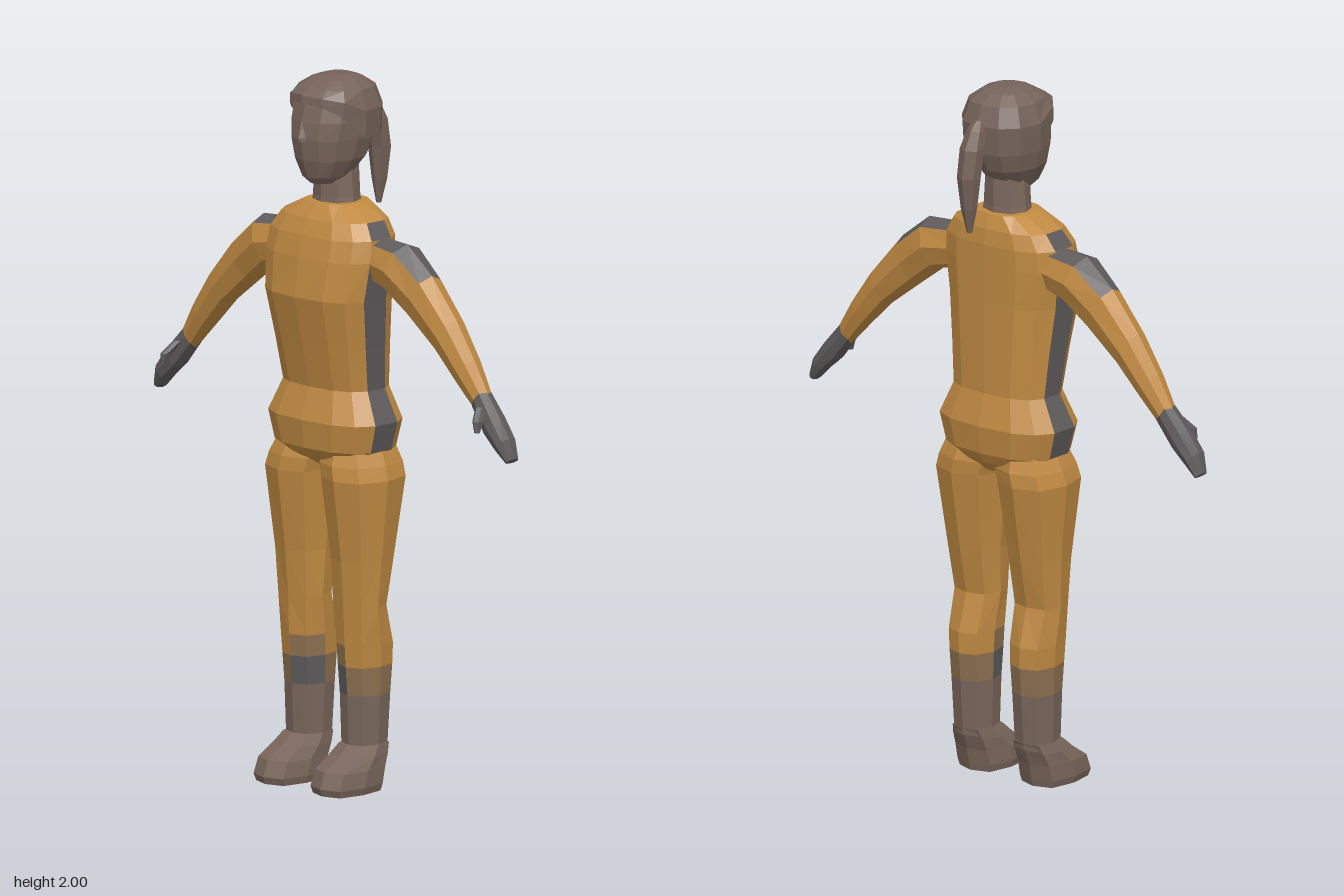
import * as THREE from 'three';

const mat = (name, color, side = THREE.FrontSide) => {
  const m = new THREE.MeshStandardMaterial({ color, side });
  m.name = name;
  return m;
};

// Signed power, squares off an ellipse when p < 1
const spow = (v, p) => Math.sign(v) * Math.pow(Math.abs(v), p);

// Horizontal ring, starting at the front and turning towards +x
function ring(n, p, [y, x0, x1, front, back], lift = () => 0) {
  const pts = [];
  for (let k = 0; k < n; k++) {
    const t = (k / n) * Math.PI * 2;
    pts.push(new THREE.Vector3(
      (x0 + x1) / 2 + ((x1 - x0) / 2) * spow(Math.sin(t), p),
      y + lift(Math.cos(t)),
      (front + back) / 2 + ((front - back) / 2) * spow(Math.cos(t), p)));
  }
  return pts;
}

// Ring across a limb, from its upper and lower outline points and its depth
function limbRing(n, p, [ux, uy, lx, ly, front, back]) {
  const pts = [];
  for (let k = 0; k < n; k++) {
    const t = (k / n) * Math.PI * 2, c = spow(Math.cos(t), p), s = spow(Math.sin(t), p);
    pts.push(new THREE.Vector3(
      (ux + lx) / 2 + ((ux - lx) / 2) * c,
      (uy + ly) / 2 + ((uy - ly) / 2) * c,
      (front + back) / 2 + ((front - back) / 2) * s));
  }
  return pts;
}

// Faceted skin over rings; pick(segment, side) chooses the material index
function loft(name, rings, materials, pick = () => 0, { side = 1, bottom = true, top = true, bottomMat = 0 } = {}) {
  const buckets = materials.map(() => []);
  const tri = (m, a, b, c) => {
    for (const v of side > 0 ? [a, b, c] : [a, c, b]) buckets[m].push(v.x * side, v.y, v.z);
  };
  const n = rings[0].length, last = rings.length - 1;
  const centre = r => r.reduce((s, v) => s.add(v), new THREE.Vector3()).divideScalar(n);
  for (let k = 0; k < n; k++) {
    const j = (k + 1) % n;
    for (let i = 0; i < last; i++) {
      const m = pick(i, k), a = rings[i], b = rings[i + 1];
      tri(m, a[k], a[j], b[j]);
      tri(m, a[k], b[j], b[k]);
    }
    if (bottom) tri(bottomMat, centre(rings[0]), rings[0][j], rings[0][k]);
    if (top) tri(pick(last - 1, k), centre(rings[last]), rings[last][k], rings[last][j]);
  }
  const geo = new THREE.BufferGeometry();
  geo.setAttribute('position', new THREE.Float32BufferAttribute(buckets.flat(), 3));
  let start = 0;
  buckets.forEach((b, i) => {
    if (b.length) geo.addGroup(start, b.length / 3, i);
    start += b.length / 3;
  });
  geo.computeVertexNormals();
  const mesh = new THREE.Mesh(geo, materials);
  mesh.name = name;
  return mesh;
}

export function createModel() {
  const model = new THREE.Group();
  model.name = 'figure';
  const orange = mat('orange cloth', 0xc08a42);
  const brown = mat('brown skin', 0x7a675c);
  const hairMat = mat('brown hair', 0x75635a, THREE.DoubleSide);
  const slate = mat('slate grey', 0x5f5b5c);
  const blend = mat('faded cloth', 0x8d7150);
  const sym = ([y, w, f, b]) => [y, -w, w, f, b];

  // Torso, with grey panels down both sides
  const torso = [
    [0.90, 0.06, 0.06, -0.06], [0.93, 0.13, 0.11, -0.09], [0.96, 0.185, 0.135, -0.105],
    [1.04, 0.207, 0.145, -0.115], [1.13, 0.163, 0.115, -0.09], [1.25, 0.173, 0.14, -0.09],
    [1.39, 0.188, 0.172, -0.09], [1.50, 0.202, 0.155, -0.09], [1.56, 0.197, 0.14, -0.09],
    [1.605, 0.165, 0.12, -0.085], [1.645, 0.085, 0.09, -0.07],
  ].map(s => ring(14, 0.75, sym(s)));
  model.add(loft('torso', torso, [orange, slate],
    (i, k) => ((k === 3 || k === 10) && ((i >= 2 && i <= 6) || i === 8) ? 1 : 0)));

  // Neck and head
  const neck = [[1.61, 0.075, 0.075, -0.055], [1.66, 0.066, 0.07, -0.05], [1.75, 0.058, 0.07, -0.05]]
    .map(s => ring(8, 0.9, sym(s)));
  model.add(loft('neck', neck, [brown]));
  const head = [
    [1.70, 0.035, 0.10, 0.0], [1.72, 0.056, 0.122, -0.03], [1.77, 0.085, 0.138, -0.075],
    [1.83, 0.10, 0.147, -0.10], [1.88, 0.107, 0.143, -0.108], [1.94, 0.104, 0.13, -0.108],
    [1.975, 0.07, 0.09, -0.08],
  ].map(s => ring(12, 0.9, sym(s)));
  model.add(loft('head', head, [brown]));
  const nose = [[1.825, 0.014, 0.156, 0.13], [1.835, 0.014, 0.157, 0.13], [1.88, 0.006, 0.146, 0.13]]
    .map(s => ring(4, 1, sym(s)));
  model.add(loft('nose', nose, [brown]));

  // Hair cap with a raised hairline over the face
  const hair = [
    [1.83, 0.117, 0.145, -0.116, 0.105], [1.91, 0.12, 0.142, -0.12, 0.045],
    [1.965, 0.10, 0.118, -0.10, 0.005], [1.99, 0.066, 0.082, -0.062, 0], [2.0, 0.034, 0.045, -0.03, 0],
  ].map(s => ring(12, 0.9, sym(s), c => (c > 0.01 ? s[4] * Math.pow(c, 0.6) : 0)));
  model.add(loft('hair', hair, [hairMat], undefined, { bottom: false }));
  const tail = [
    [1.61, 0.008, -0.145, -0.157], [1.68, 0.024, -0.135, -0.172], [1.77, 0.034, -0.125, -0.183],
    [1.85, 0.035, -0.11, -0.17], [1.90, 0.026, -0.10, -0.145], [1.925, 0.014, -0.095, -0.122],
  ].map(s => ring(6, 0.9, sym(s)));
  model.add(loft('ponytail', tail, [hairMat]));

  for (const side of [1, -1]) {
    const label = side > 0 ? 'left' : 'right';

    // Leg: cloth down to the shin, bare below
    const leg = [
      [0.11, 0.055, 0.165, 0.07, -0.05], [0.27, 0.05, 0.17, 0.075, -0.06],
      [0.35, 0.047, 0.173, 0.082, -0.067], [0.41, 0.045, 0.176, 0.086, -0.068],
      [0.52, 0.038, 0.18, 0.09, -0.037], [0.65, 0.033, 0.188, 0.10, -0.062],
      [0.88, 0.012, 0.21, 0.13, -0.10], [0.92, 0.002, 0.198, 0.125, -0.10],
      [0.97, 0.01, 0.175, 0.105, -0.085],
    ].map(s => ring(8, 0.75, s));
    model.add(loft(label + 'Leg', leg, [orange, brown, blend, slate], (i, k) => {
      if (i === 0) return 1;
      if (i === 1) return k === 6 || k === 7 ? 3 : 2;
      return i === 2 && (k === 6 || k === 7) ? 2 : 0;
    }, { side, bottomMat: 1 }));

    // Foot
    const foot = [
      [0.0, 0.045, 0.18, 0.175, -0.015], [0.02, 0.04, 0.186, 0.182, -0.02],
      [0.065, 0.042, 0.184, 0.165, -0.03], [0.10, 0.046, 0.177, 0.11, -0.042],
      [0.13, 0.054, 0.167, 0.075, -0.052],
    ].map(s => ring(8, 0.62, s));
    model.add(loft(label + 'Foot', foot, [brown, slate], undefined, { side, bottomMat: 1 }));

    // Arm with a grey shoulder patch
    const arm = [
      [0.15, 1.57, 0.16, 1.44, 0.07, -0.045], [0.285, 1.56, 0.235, 1.42, 0.083, -0.056],
      [0.38, 1.485, 0.315, 1.36, 0.068, -0.045], [0.475, 1.375, 0.42, 1.28, 0.06, -0.04],
      [0.545, 1.275, 0.495, 1.205, 0.052, -0.033], [0.60, 1.185, 0.563, 1.135, 0.038, -0.02],
    ].map(s => limbRing(8, 0.9, s));
    model.add(loft(label + 'Arm', arm, [orange, slate],
      (i, k) => (i < 2 && (k === 0 || k === 7) ? 1 : 0), { side }));

    // Hand and thumb
    const hand = [
      [0.592, 1.195, 0.555, 1.145, 0.04, -0.021], [0.65, 1.13, 0.612, 1.075, 0.05, -0.022],
      [0.69, 1.075, 0.66, 1.035, 0.05, -0.02], [0.708, 1.02, 0.69, 1.005, 0.035, -0.01],
    ].map(s => limbRing(8, 0.8, s));
    model.add(loft(label + 'Hand', hand, [slate], undefined, { side }));
    const thumb = [
      [1.09, 0.616, 0.632, 0.082, 0.066], [1.12, 0.605, 0.632, 0.083, 0.052],
      [1.155, 0.585, 0.612, 0.052, 0.015],
    ].map(s => ring(6, 0.9, s));
    model.add(loft(label + 'Thumb', thumb, [slate], undefined, { side }));
  }
  return model;
}
